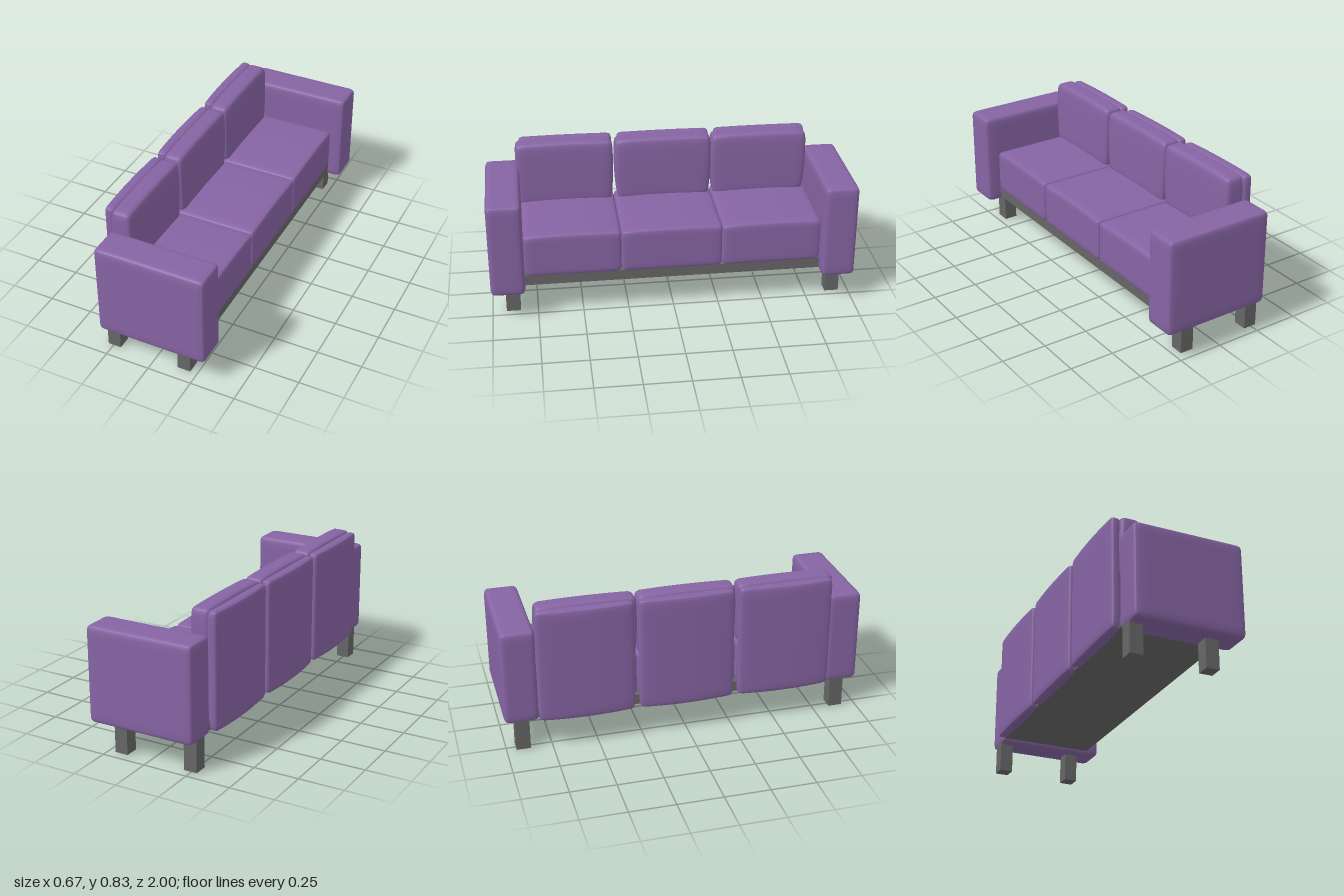
import * as THREE from 'three';
import { mergeVertices } from 'three/addons/utils/BufferGeometryUtils.js';

const fabric = new THREE.MeshStandardMaterial({ color: 0x8664a3 });
fabric.name = 'purple fabric';
const frame = new THREE.MeshStandardMaterial({ color: 0x666666 });
frame.name = 'grey frame';

// Soft padded block between two corners; "shape" may bend the rounded box,
// receiving the point and its normalised position (-1..1 on each axis).
function padded(name, min, max, radius, shape) {
  const half = max.map((m, i) => (m - min[i]) / 2);
  const centre = max.map((m, i) => (m + min[i]) / 2);
  const raw = new THREE.BoxGeometry(2, 2, 2, 14, 14, 14);
  raw.deleteAttribute('uv');
  raw.deleteAttribute('normal');
  const geo = mergeVertices(raw);
  const pos = geo.attributes.position;
  const p = new THREE.Vector3();
  const inner = new THREE.Vector3();
  for (let i = 0; i < pos.count; i++) {
    p.fromBufferAttribute(pos, i);
    // crowd the grid towards the edges, then round them off
    const q = p.toArray().map((u, k) => Math.sin(u * Math.PI / 2) * half[k]);
    p.fromArray(q);
    inner.fromArray(q.map((v, k) => THREE.MathUtils.clamp(v, radius - half[k], half[k] - radius)));
    p.sub(inner);
    if (p.lengthSq() > 0) p.setLength(radius);
    p.add(inner);
    if (shape) shape(p, p.x / half[0], p.y / half[1], p.z / half[2]);
    pos.setXYZ(i, p.x, p.y, p.z);
  }
  geo.computeVertexNormals();
  const mesh = new THREE.Mesh(geo, fabric);
  mesh.name = name;
  mesh.position.fromArray(centre);
  return mesh;
}

// Hard-edged frame block between two corners
function block(name, min, max) {
  const size = max.map((m, i) => m - min[i]);
  const mesh = new THREE.Mesh(new THREE.BoxGeometry(...size), frame);
  mesh.name = name;
  mesh.position.fromArray(max.map((m, i) => (m + min[i]) / 2));
  return mesh;
}

export function createModel() {
  const sofa = new THREE.Group();
  sofa.name = 'sofa';

  // Frame under the seats
  sofa.add(block('baseFrame', [-0.28, 0.183, -0.82], [0.255, 0.24, 0.82]));

  // Arms and legs
  for (const side of [1, -1]) {
    const z = side * 0.9075;
    sofa.add(padded(side > 0 ? 'leftArm' : 'rightArm',
      [-0.286, 0.163, z - 0.0935], [0.332, 0.696, z + 0.0935], 0.027));
    const legZ = side > 0 ? 0.885 : -0.908;
    for (const x of [-0.244, 0.173]) {
      sofa.add(block(x > 0 ? 'frontLeg' : 'backLeg',
        [x - 0.037, 0, legZ - 0.039], [x + 0.037, 0.19, legZ + 0.039]));
    }
  }

  // Seat cushions, slightly crowned
  const seats = [[-0.815, -0.268], [-0.268, 0.285], [0.285, 0.815]];
  for (const [z0, z1] of seats) {
    sofa.add(padded('seatCushion', [-0.27, 0.235, z0], [0.265, 0.487, z1], 0.025, (p, u, v, w) => {
      if (v > 0) p.y -= 0.008 * v * w * w;
    }));
  }

  // Back cushions: fuller in the middle, thinner towards the top
  for (const z of [-0.538, 0.007, 0.56]) {
    sofa.add(padded('backCushion', [-0.28, 0.46, z - 0.273], [-0.16, 0.827, z + 0.273], 0.03, (p, u, v, w) => {
      const t = v - 0.25;
      p.z *= 1 - 0.035 * t * t;
      if (v > 0) p.x *= 1 - 0.12 * v * v;
      if (v > 0) p.y -= 0.006 * v * w * w;
    }));
  }

  // Rear panels: rounded pads reaching down to the frame
  for (const z of [-0.555, -0.003, 0.55]) {
    sofa.add(padded('backPanel', [-0.334, 0.17, z - 0.262], [-0.265, 0.817, z + 0.262], 0.026, (p, u, v, w) => {
      if (u < 0) p.x -= u * 0.012 * w * w;
      if (v < 0) p.y += 0.008 * w * w;
    }));
  }

  return sofa;
}
